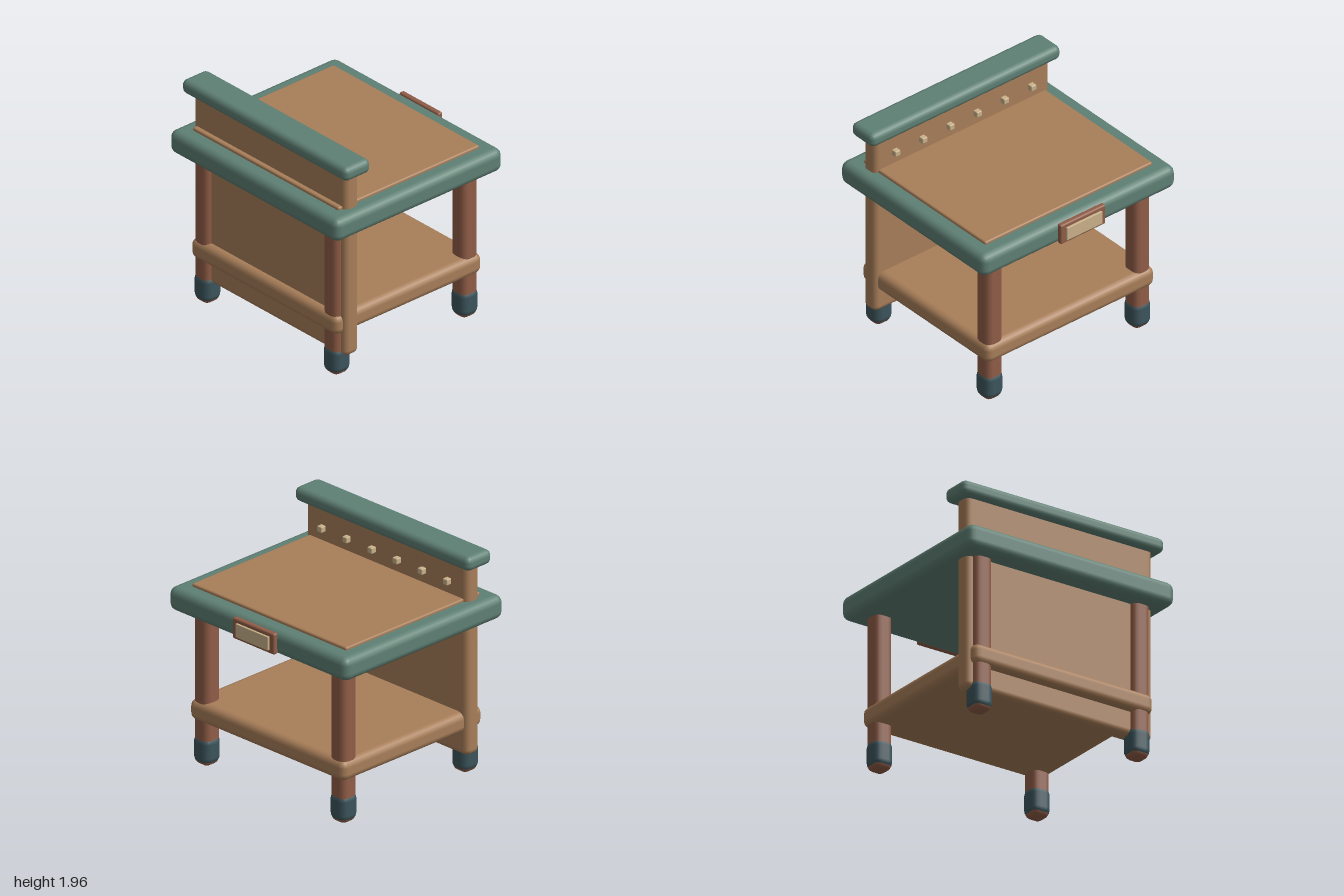
import * as THREE from 'three';
import { RoundedBoxGeometry } from 'three/addons/geometries/RoundedBoxGeometry.js';

const material = (name, color) => {
  const m = new THREE.MeshStandardMaterial({ color });
  m.name = name;
  return m;
};

export function createModel() {
  const group = new THREE.Group();
  group.name = 'workbench';
  const green = material('green trim', 0x5f8074);
  const wood = material('light wood', 0xa87e59);
  const darkWood = material('dark wood', 0x905d47);
  const slate = material('slate sleeve', 0x3c555c);
  const cream = material('cream', 0xcab28a);

  // Rounded block given by its extents on each axis
  const block = (name, mat, [x0, x1], [y0, y1], [z0, z1], radius, segments = 2) => {
    const geo = new RoundedBoxGeometry(x1 - x0, y1 - y0, z1 - z0, segments, radius);
    const mesh = new THREE.Mesh(geo, mat);
    mesh.position.set((x0 + x1) / 2, (y0 + y1) / 2, (z0 + z1) / 2);
    mesh.name = name;
    group.add(mesh);
  };

  // Table top with its work surface
  block('tableTop', green, [-0.92, 0.86], [1.325, 1.53], [-1, 1], 0.065);
  block('workSurface', wood, [-0.78, 0.72], [1.49, 1.555], [-0.865, 0.865], 0.015);

  // Upright back panel and its cap rail
  block('backPanel', wood, [-0.74, -0.59], [0.185, 1.88], [-0.905, 0.905], 0.05);
  block('capRail', green, [-0.805, -0.53], [1.83, 1.955], [-0.98, 0.98], 0.05);

  // Lower shelf
  block('shelf', wood, [-0.81, 0.755], [0.383, 0.56], [-0.87, 0.87], 0.06);

  // Legs with slate foot sleeves
  for (const x of [-0.71, 0.65]) {
    for (const z of [-0.765, 0.765]) {
      block('leg', darkWood, [x - 0.083, x + 0.083], [0, 1.42], [z - 0.083, z + 0.083], 0.055);
      block('footSleeve', slate, [x - 0.091, x + 0.091], [0.008, 0.26], [z - 0.091, z + 0.091], 0.065);
    }
  }

  // Pegs along the back panel
  for (let i = 0; i < 6; i++) {
    const z = -0.703 + i * 0.2812;
    block('peg', cream, [-0.61, -0.543], [1.638, 1.69], [z - 0.026, z + 0.026], 0.008, 1);
  }

  // Blank name plate on the side edge
  block('plateFrame', darkWood, [0.848, 0.897], [1.34, 1.522], [-0.233, 0.233], 0.015);
  block('plate', cream, [0.88, 0.915], [1.37, 1.488], [-0.182, 0.182], 0.004, 1);

  return group;
}
